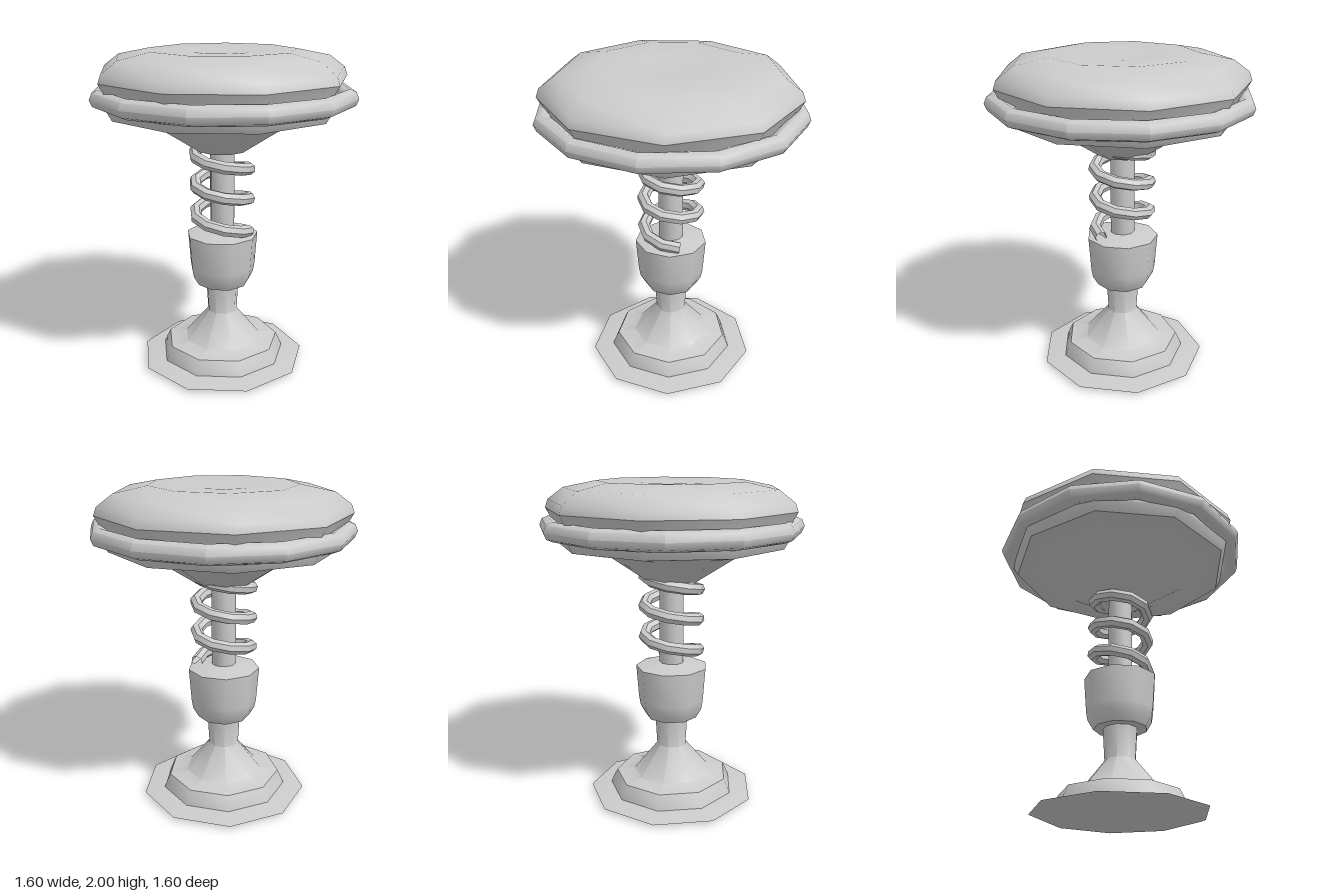
import * as THREE from 'three';
import { toCreasedNormals } from 'three/addons/utils/BufferGeometryUtils.js';

const SIDES = 9;
const AXIS_X = -0.01; // centres the odd-sided turned parts

export function createModel() {
  const model = new THREE.Group();
  model.name = 'springStool';
  const material = new THREE.MeshStandardMaterial({ color: 0xcccccc, side: THREE.DoubleSide });

  const add = (name, geometry, x = AXIS_X, y = 0) => {
    const mesh = new THREE.Mesh(toCreasedNormals(geometry, 0.8), material);
    mesh.name = name;
    mesh.position.set(x, y, 0);
    model.add(mesh);
    return mesh;
  };

  // Nine-sided turned part with a corner on -x; profile runs bottom to top as [radius, y]
  const turn = (name, profile) => add(name, new THREE.LatheGeometry(
    profile.map(([r, y]) => new THREE.Vector2(r, y)), SIDES, -Math.PI / 2));

  // Foot
  turn('floorPlate', [[0, 0], [0.5, 0.005], [0.53, 0.018], [0.4, 0.036], [0, 0.045]]);
  turn('pedestal', [[0, 0.03], [0.4, 0.04], [0.385, 0.08], [0.36, 0.13], [0.245, 0.145],
    [0.095, 0.33], [0.107, 0.54]]);

  // Cup and post carrying the spring
  turn('springCup', [[0, 0.525], [0.165, 0.525], [0.2, 0.585], [0.21, 0.64],
    [0.226, 0.855], [0.08, 0.882], [0, 0.882]]);
  turn('post', [[0.077, 0.87], [0.077, 1.42]]);

  // Spring: three turns winding down, the last half turn settling on the cup
  const coil = [];
  const turns = 3, steps = 10;
  for (let i = 0; i <= turns * steps; i++) {
    const t = i / steps, a = t * Math.PI * 2;
    const settle = 0.022 * Math.max(0, (t - 2.5) * 2);
    coil.push(new THREE.Vector3(0.172 * Math.cos(a), 1.475 - 0.19 * t - settle, -0.172 * Math.sin(a)));
  }
  add('spring', new THREE.TubeGeometry(new THREE.CatmullRomCurve3(coil), turns * steps, 0.038, 7));

  // Seat
  turn('seatPan', [[0, 1.395], [0.15, 1.395], [0.435, 1.58], [0.69, 1.628],
    [0.725, 1.69], [0.72, 1.75]]);
  turn('cushion', [[0.7, 1.7], [0.735, 1.79], [0.763, 1.84], [0.745, 1.89],
    [0.65, 1.96], [0.45, 2], [0.2, 1.99], [0, 1.975]]);

  // Twelve-sided trim ring around the seat
  const ring = new THREE.TorusGeometry(0.743, 0.056, 8, 12).rotateX(Math.PI / 2);
  add('seatRing', ring, 0, 1.735);

  return model;
}
